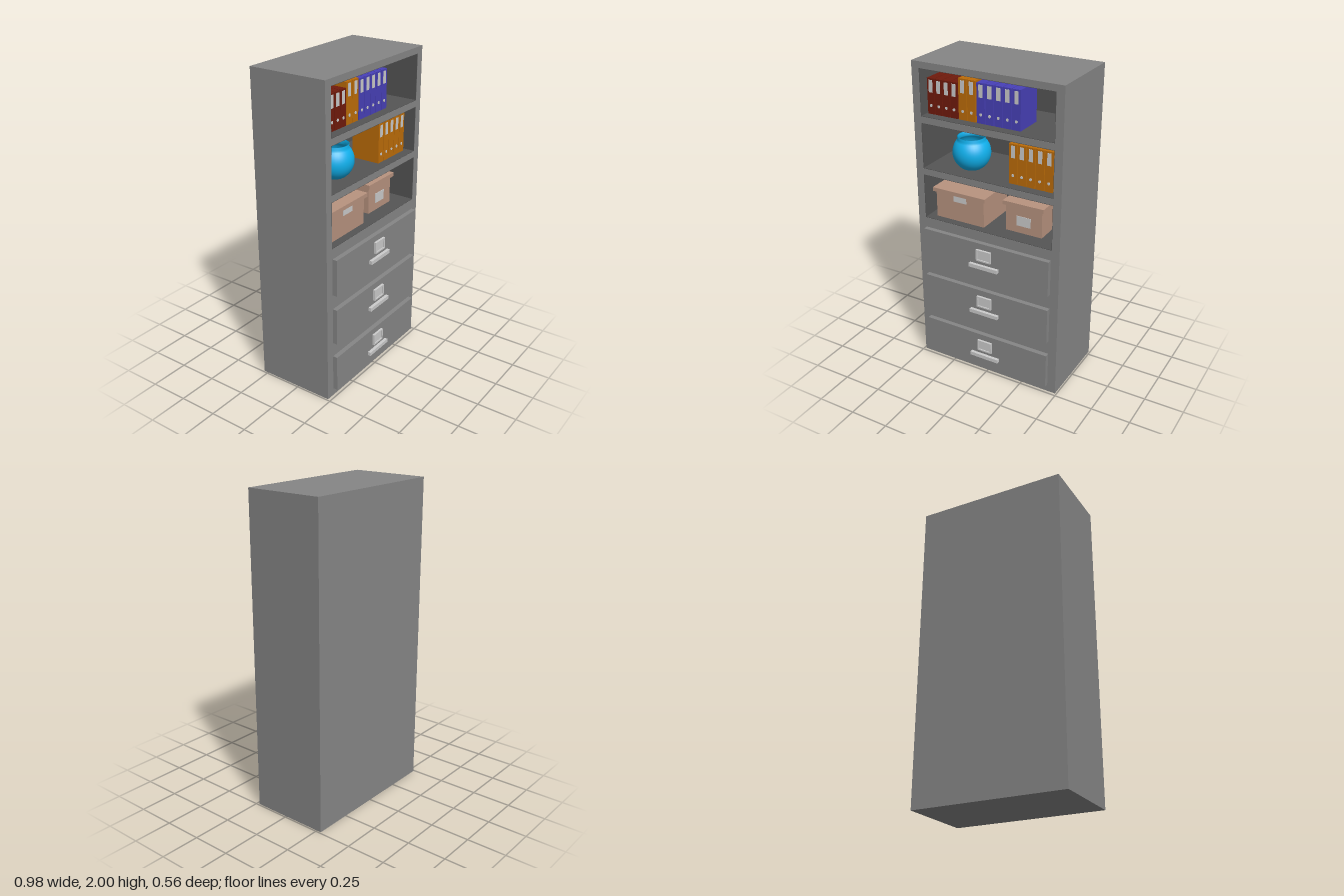
import * as THREE from 'three';

const mat = (color, opts = {}) => new THREE.MeshStandardMaterial({ color, ...opts });
const GREY = mat(0xcccccc), CASE = mat(0x868686), INSIDE = mat(0x555555);
const RED = mat(0x701a0c), ORANGE = mat(0xbc6c08), BLUE = mat(0x4840b8), CARD = mat(0xb8937f);
const BACK = -0.2; // depth of the shelf recesses

function add(parent, name, geometry, material, x = 0, y = 0, z = 0) {
  const mesh = new THREE.Mesh(geometry, material);
  mesh.name = name;
  mesh.position.set(x, y, z);
  parent.add(mesh);
  return mesh;
}

// Box given by its limits on each axis
function box(parent, name, material, [x0, x1], [y0, y1], [z0, z1]) {
  return add(parent, name, new THREE.BoxGeometry(x1 - x0, y1 - y0, z1 - z0), material,
    (x0 + x1) / 2, (y0 + y1) / 2, (z0 + z1) / 2);
}

const trace = (path, x0, x1, y0, y1) =>
  path.moveTo(x0, y0).lineTo(x1, y0).lineTo(x1, y1).lineTo(x0, y1).closePath();

// Rectangular slab pierced by rectangular holes
function pierced(outer, holes, depth) {
  const shape = trace(new THREE.Shape(), ...outer);
  holes.forEach(h => shape.holes.push(trace(new THREE.Path(), ...h)));
  return new THREE.ExtrudeGeometry(shape, { depth, bevelEnabled: false });
}

function cabinet() {
  const g = new THREE.Group();
  g.name = 'cabinet';
  const bays = [1.01, 1.34, 1.67].map(y => [-0.44, 0.44, y, y + 0.29]);
  add(g, 'caseFrame', pierced([-0.49, 0.49, 0, 2], bays, 0.23 - BACK), CASE, 0, 0, BACK);
  box(g, 'backPanel', CASE, [-0.49, 0.49], [0, 2], [-0.28, BACK]);
  // Dark lining of each open bay
  for (const [x0, x1, y0, y1] of bays) {
    const t = 0.003;
    const lining = pierced([x0, x1, y0, y1], [[x0 + t, x1 - t, y0 + t, y1 - t]], 0.229 - BACK);
    add(g, 'bayLining', lining, INSIDE, 0, 0, BACK);
    add(g, 'bayBack', new THREE.PlaneGeometry(x1 - x0, y1 - y0), INSIDE,
      0, (y0 + y1) / 2, BACK + 0.002);
  }
  return g;
}

function drawer(y) {
  const g = new THREE.Group();
  g.name = 'drawer';
  box(g, 'drawerFront', CASE, [-0.435, 0.435], [0, 0.235], [0.23, 0.26]);
  box(g, 'drawerHandle', GREY, [-0.1, 0.1], [0.068, 0.092], [0.26, 0.28]);
  // Label holder with a recessed card
  add(g, 'labelFrame', pierced([-0.05, 0.05, 0.12, 0.195], [[-0.041, 0.041, 0.129, 0.186]], 0.015),
    GREY, 0, 0, 0.26);
  box(g, 'labelCard', GREY, [-0.041, 0.041], [0.129, 0.186], [0.26, 0.268]);
  g.position.y = y;
  return g;
}

// Row of ring binders with spine label and finger ring
function binderRow(name, material, count, x, y, pitch, height) {
  const g = new THREE.Group();
  g.name = name;
  const front = 0.17;
  for (let i = 0; i < count; i++) {
    const cx = x + (i + 0.5) * pitch, half = pitch / 2 - 0.002;
    box(g, 'binder', material, [cx - half, cx + half], [y, y + height], [front - 0.19, front]);
    box(g, 'spineLabel', GREY, [cx - 0.013, cx + 0.013],
      [y + height - 0.085, y + height - 0.01], [front, front + 0.002]);
    add(g, 'fingerRing', new THREE.CylinderGeometry(0.009, 0.009, 0.003, 16), GREY,
      cx, y + 0.053, front + 0.001).rotation.x = Math.PI / 2;
  }
  return g;
}

// Cardboard box with an overhanging lid and a front label
function storageBox(name, [x0, x1], [z0, z1], label) {
  const g = new THREE.Group(), o = 0.016;
  g.name = name;
  box(g, 'boxBody', CARD, [x0, x1], [1.013, 1.185], [z0, z1]);
  box(g, 'boxLid', CARD, [x0 - o, x1 + o], [1.185, 1.21], [z0 - o, z1 + o]);
  box(g, 'boxLabel', GREY, [label[0], label[1]], [label[2], label[3]], [z1, z1 + 0.003]);
  return g;
}

function vase() {
  // Rounded outer wall, rolled over the rim and down inside
  const points = [new THREE.Vector2(0, 0)];
  const arc = (r, a0, a1) => {
    for (let i = 0; i <= 14; i++) {
      const a = a0 + (a1 - a0) * i / 14;
      points.push(new THREE.Vector2(r * Math.cos(a), 0.1 + r * Math.sin(a)));
    }
  };
  arc(0.117, -1.02, 0.78);
  points.push(new THREE.Vector2(0.087, 0.2), new THREE.Vector2(0.08, 0.2));
  arc(0.108, 0.78, -1.0);
  points.push(new THREE.Vector2(0, 0.009));
  const geometry = new THREE.LatheGeometry(points, 36);
  return new THREE.Mesh(geometry, mat(0x10b0ec, { side: THREE.DoubleSide }));
}

export function createModel() {
  const model = new THREE.Group();
  model.name = 'filingCabinet';
  model.add(cabinet());
  for (const y of [0.05, 0.38, 0.71]) model.add(drawer(y));

  // Top shelf
  model.add(binderRow('redBinders', RED, 4, -0.43, 1.673, 0.053, 0.217));
  model.add(binderRow('orangeBinders', ORANGE, 2, -0.215, 1.673, 0.059, 0.247));
  model.add(binderRow('blueBinders', BLUE, 5, -0.093, 1.673, 0.058, 0.24));

  // Middle shelf
  const pot = vase();
  pot.name = 'vase';
  pot.position.set(-0.192, 1.343, 0.07);
  model.add(pot);
  model.add(binderRow('orangeBindersRight', ORANGE, 5, 0.118, 1.343, 0.058, 0.247));

  // Lower shelf
  model.add(storageBox('largeBox', [-0.385, -0.047], [-0.1, 0.18], [-0.26, -0.17, 1.14, 1.182]));
  model.add(storageBox('smallBox', [0.08, 0.322], [-0.07, 0.13], [0.153, 0.247, 1.06, 1.123]));
  return model;
}
